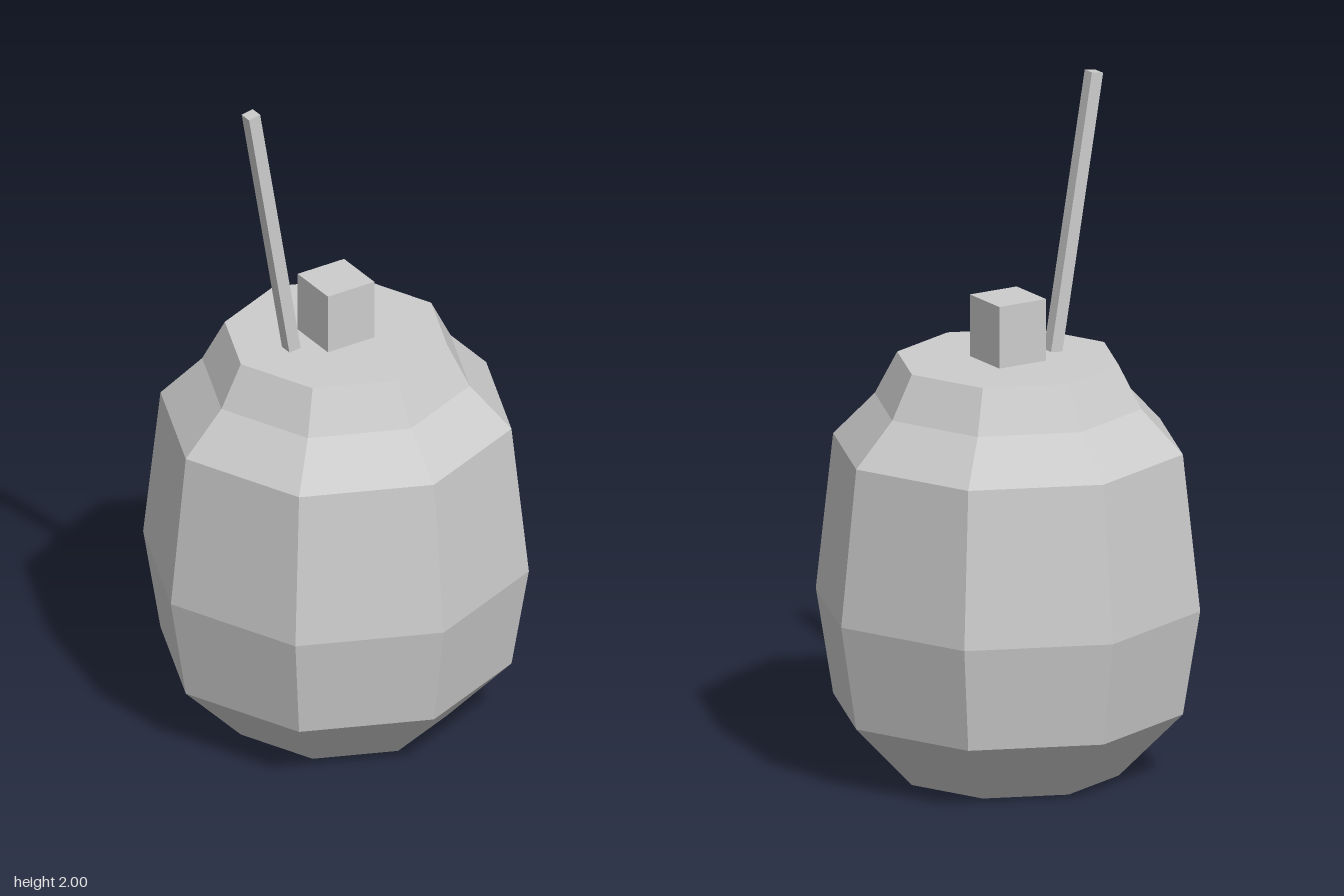
import * as THREE from 'three';

export function createModel() {
  const model = new THREE.Group();
  const grey = new THREE.MeshStandardMaterial({ color: 0xcccccc, flatShading: true });
  grey.name = 'light grey';

  const add = (name, geometry) => {
    const mesh = new THREE.Mesh(geometry, grey);
    mesh.name = name;
    model.add(mesh);
    return mesh;
  };

  // Eight-sided body: tapered base, belly, shoulder, neck and flat top
  const profile = [
    [0, 0], [0.32, 0], [0.505, 0.19], [0.555, 0.495],
    [0.505, 0.95], [0.385, 1.075], [0.32, 1.2], [0, 1.2],
  ].map(([r, y]) => new THREE.Vector2(r, y));
  add('body', new THREE.LatheGeometry(profile, 8));

  // Square stub at the centre of the top
  add('stem', new THREE.BoxGeometry(0.156, 0.18, 0.156)).position.set(0, 1.29, 0);

  // Thin square straw leaning to the model's right
  const foot = new THREE.Vector3(-0.15, 1.2, 0);
  const tip = new THREE.Vector3(-0.286, 1.997, 0);
  const straw = add('straw', new THREE.BoxGeometry(0.038, foot.distanceTo(tip), 0.038));
  straw.position.lerpVectors(foot, tip, 0.5);
  straw.rotation.z = Math.atan2(foot.x - tip.x, tip.y - foot.y);

  return model;
}
